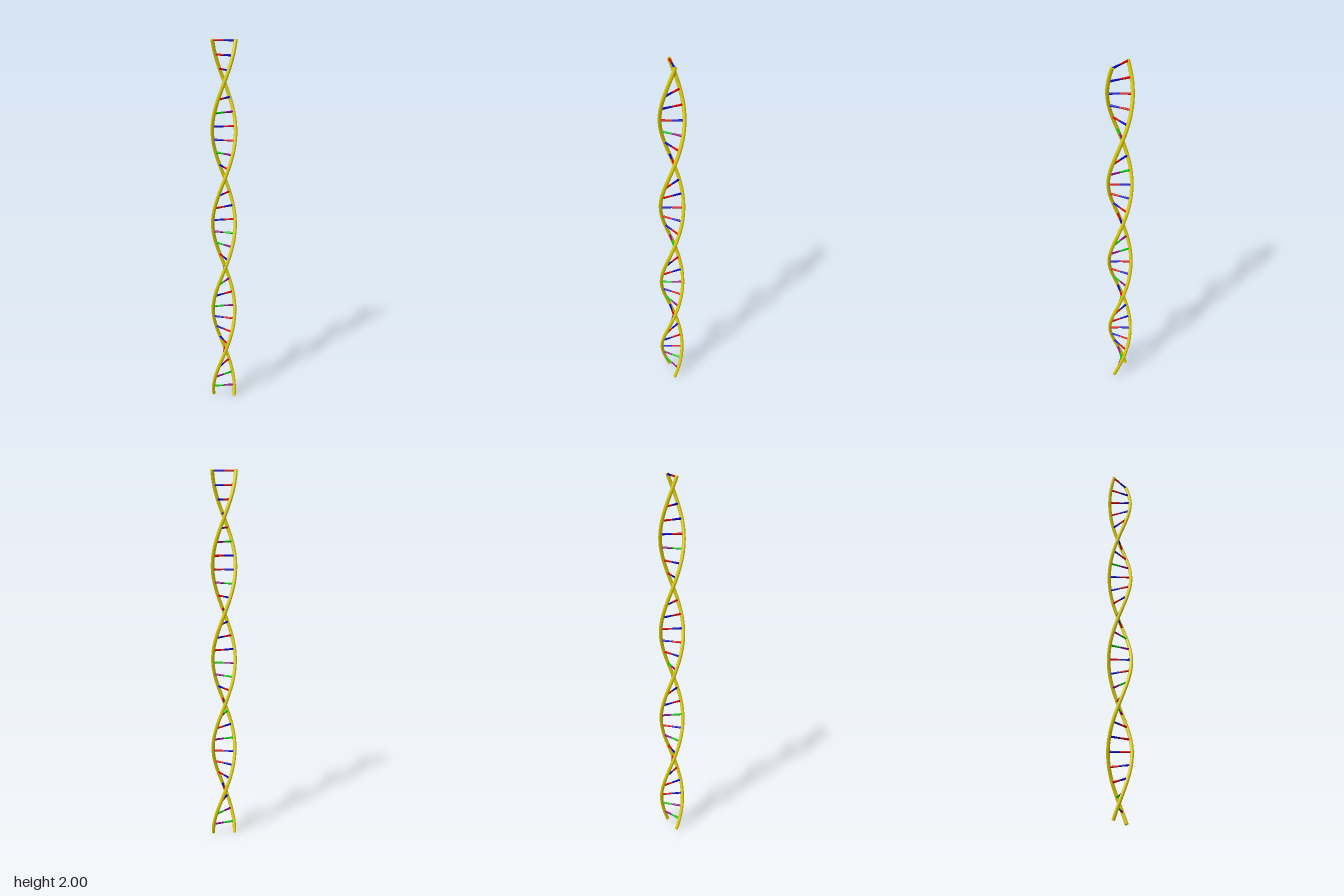
import * as THREE from 'three';

const R = 0.06, TUBE = 0.0095, HEIGHT = 2;
const COLORS = { y: 0xdccc00, r: 0xd80000, b: 0x0000d0, g: 0x00c800, p: 0x900090 };
const PAIR = { r: 'b', b: 'r', g: 'p', p: 'g' };
// Base on the first strand for each rung, from bottom to top
const BASES = 'pgrrbbbgbgrbpgrbrbbgbbgrbbbb';

const materials = {};
for (const key in COLORS) materials[key] = new THREE.MeshStandardMaterial({ color: COLORS[key] });

// Point on a right-handed helix that makes one turn per unit of height
function helixPoint(y, phase) {
  const a = 2 * Math.PI * y + phase;
  return new THREE.Vector3(R * Math.cos(a), y, -R * Math.sin(a));
}

class HelixCurve extends THREE.Curve {
  constructor(phase) {
    super();
    this.phase = phase;
  }
  getPoint(t, target = new THREE.Vector3()) {
    return target.copy(helixPoint(0.003 + t * (HEIGHT - 0.006), this.phase));
  }
}

// Backbone tube with closed ends
function makeStrand(name, phase) {
  const strand = new THREE.Group();
  strand.name = name;
  const curve = new HelixCurve(phase);
  const tube = new THREE.Mesh(new THREE.TubeGeometry(curve, 120, TUBE, 10), materials.y);
  tube.name = name + 'Tube';
  strand.add(tube);
  for (const t of [0, 1]) {
    const cap = new THREE.Mesh(new THREE.CircleGeometry(TUBE, 10), materials.y);
    cap.name = name + 'Cap';
    cap.position.copy(curve.getPoint(t));
    const outward = curve.getTangent(t).multiplyScalar(t ? 1 : -1);
    cap.quaternion.setFromUnitVectors(new THREE.Vector3(0, 0, 1), outward);
    strand.add(cap);
  }
  return strand;
}

// Half rung from the axis out to a strand, slightly thicker at the strand
const halfGeometry = new THREE.CylinderGeometry(0.006, 0.0045, R, 10);
halfGeometry.translate(0, R / 2, 0);

function makeHalfRung(y, phase, base) {
  const half = new THREE.Mesh(halfGeometry, materials[base]);
  half.name = 'halfRung';
  half.position.y = y;
  const dir = helixPoint(y, phase).setY(0).normalize();
  half.quaternion.setFromUnitVectors(new THREE.Vector3(0, 1, 0), dir);
  return half;
}

export function createModel() {
  const model = new THREE.Group();
  model.name = 'doubleHelix';
  model.add(makeStrand('firstStrand', 0), makeStrand('secondStrand', Math.PI));

  // Paired rungs, fourteen per turn
  [...BASES].forEach((base, i) => {
    const y = 0.0637 + i / 14;
    const rung = new THREE.Group();
    rung.name = 'rung';
    rung.add(makeHalfRung(y, 0, base), makeHalfRung(y, Math.PI, PAIR[base]));
    model.add(rung);
  });
  return model;
}
